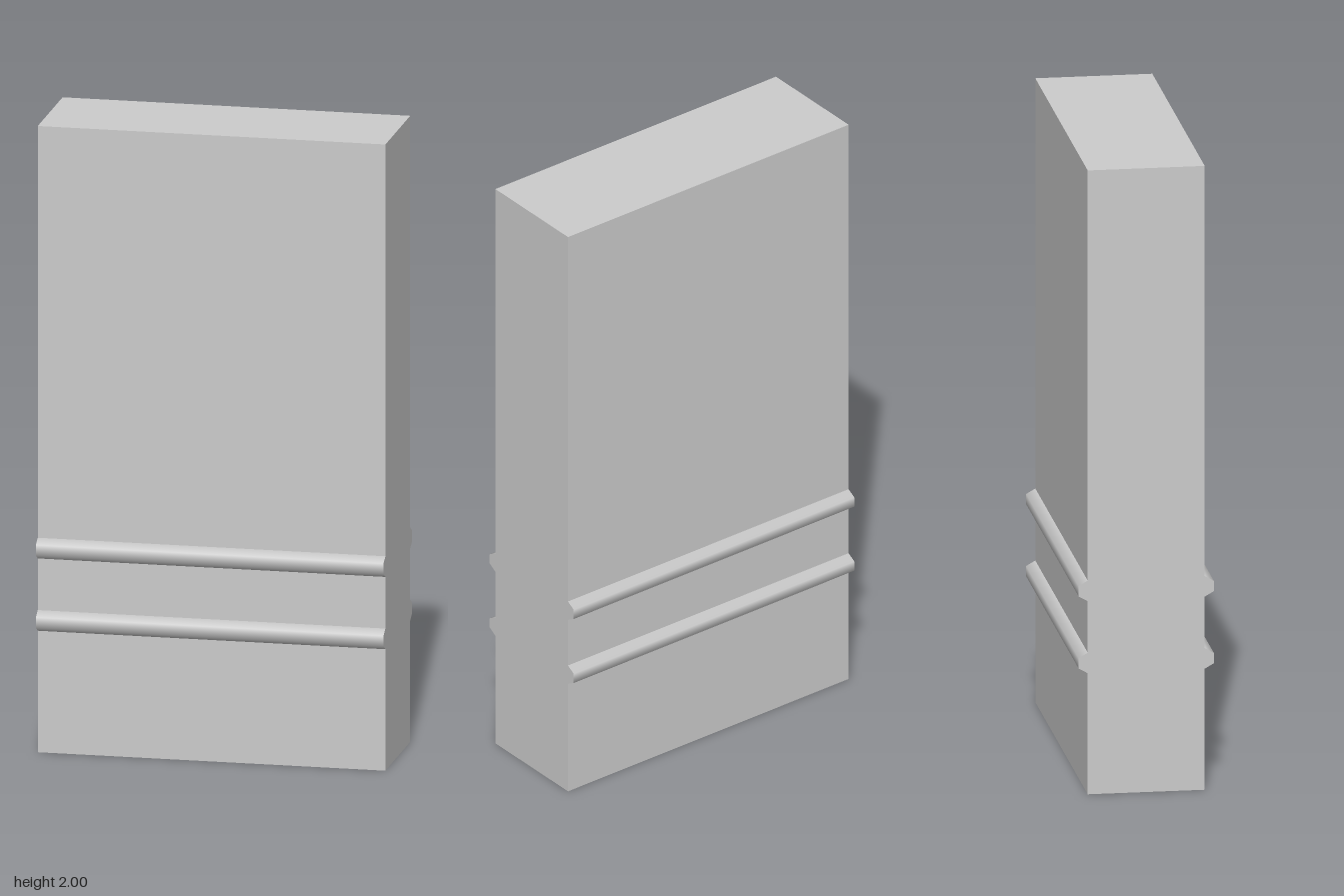
import * as THREE from 'three';

export function createModel() {
  const group = new THREE.Group();
  const material = new THREE.MeshStandardMaterial({ color: 0xcccccc });
  const width = 1.1, height = 2, halfDepth = 0.183, ribRadius = 0.033;

  // Upright slab
  const slab = new THREE.Mesh(new THREE.BoxGeometry(width, height, halfDepth * 2), material);
  slab.name = 'slab';
  slab.position.y = height / 2;
  group.add(slab);

  // Half-hexagonal rib running along x and bulging towards +z
  const ribGeometry = new THREE.CylinderGeometry(
    ribRadius, ribRadius, width, 3, 1, false, -Math.PI / 2, Math.PI);
  ribGeometry.rotateZ(Math.PI / 2);

  // Two ribs on the front, mirrored on the back
  for (const [level, y] of [['lower', 0.421], ['upper', 0.652]]) {
    for (const [face, side] of [['Front', 1], ['Back', -1]]) {
      const rib = new THREE.Mesh(ribGeometry, material);
      rib.name = `${level}${face}Rib`;
      rib.position.set(0, y, side * halfDepth);
      if (side < 0) rib.rotation.y = Math.PI;
      group.add(rib);
    }
  }
  return group;
}
